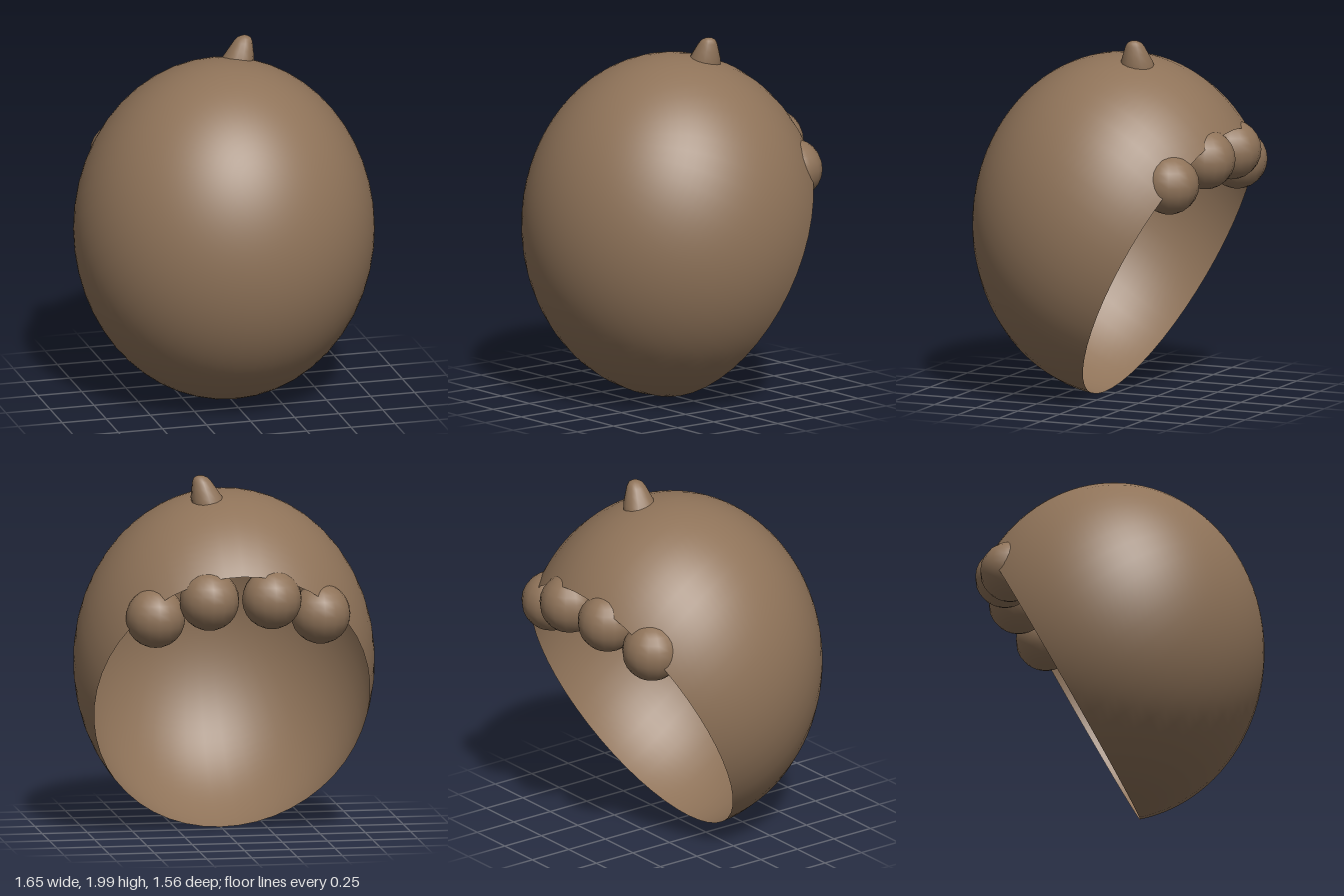
import * as THREE from 'three';

export function createModel() {
  const group = new THREE.Group();
  const skin = new THREE.MeshStandardMaterial({ color: 0x8f7359 });
  const shellSkin = skin.clone();
  shellSkin.side = THREE.DoubleSide;

  const add = (name, geometry, material = skin) => {
    const mesh = new THREE.Mesh(geometry, material);
    mesh.name = name;
    group.add(mesh);
    return mesh;
  };

  // Hollow egg-shaped shell, cut open by a slanted plane at the lower back
  const deg = THREE.MathUtils.degToRad;
  const shell = new THREE.SphereGeometry(1, 48, 32, 0, Math.PI * 2, 0, deg(112.7));
  shell.rotateX(deg(59.4));
  shell.scale(0.825, 0.95, 0.825);
  shell.translate(0, 0.95, -0.045);
  add('shell', shell, shellSkin);

  // Row of round knobs along the upper rim, mirrored left and right
  const knob = new THREE.SphereGeometry(0.165, 16, 12);
  for (const [side, s] of [['left', 1], ['right', -1]]) {
    add(side + 'InnerKnob', knob).position.set(s * 0.173, 1.377, -0.615);
    add(side + 'OuterKnob', knob).position.set(s * 0.457, 1.275, -0.525);
  }

  // Small flared nub on top, leaning to the left
  const profile = [
    [0.095, -0.035], [0.088, 0.01], [0.068, 0.06], [0.052, 0.1], [0.038, 0.12], [0.018, 0.13], [0, 0.131],
  ].map(([r, y]) => new THREE.Vector2(r, y));
  const nub = new THREE.LatheGeometry(profile, 14);
  nub.applyMatrix4(new THREE.Matrix4().makeShear(0, 0, 0.3, 0, 0, 0));
  nub.applyMatrix4(new THREE.Matrix4().makeTranslation(0.115, 1.869, -0.18));
  add('topNub', nub, shellSkin);

  return group;
}
